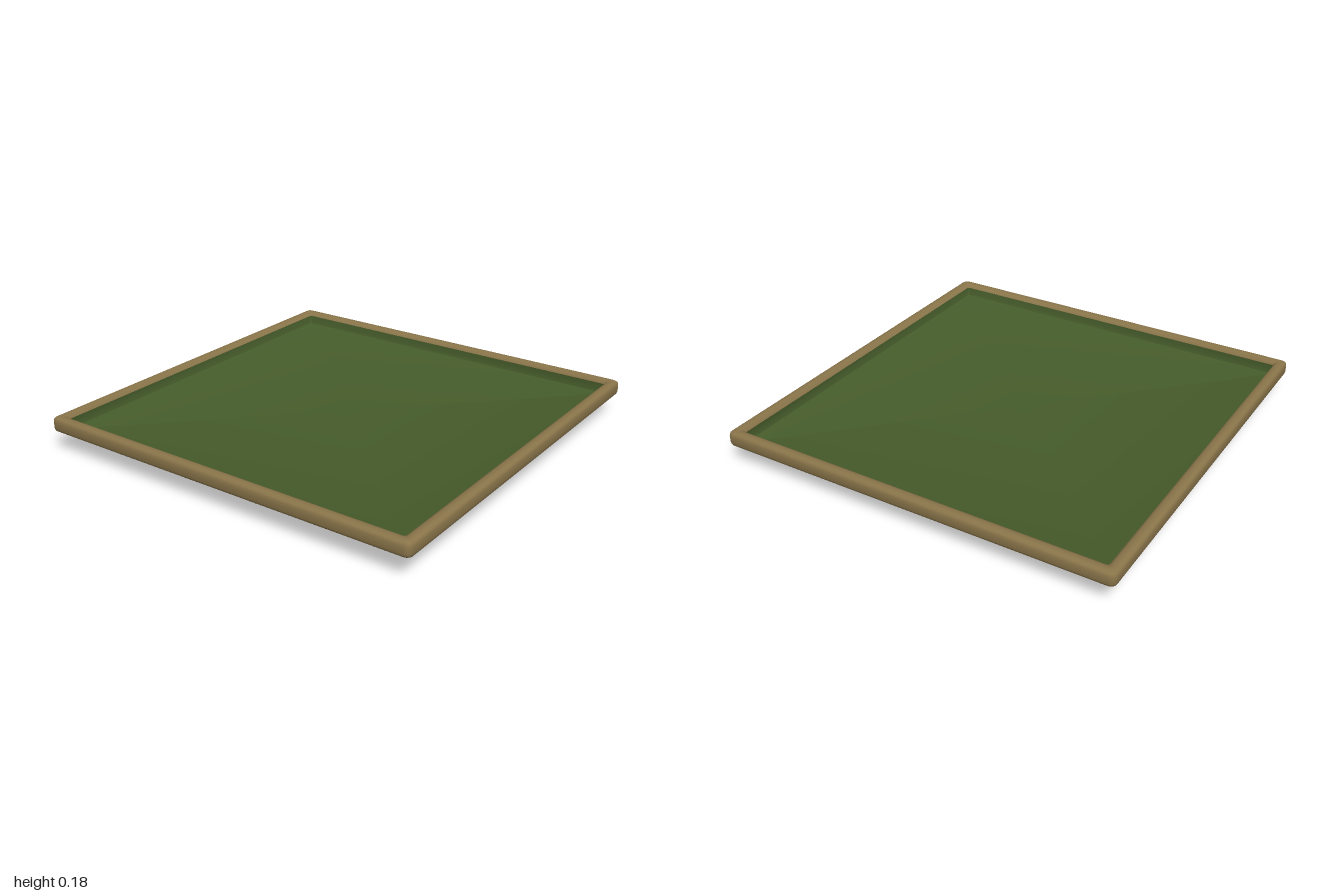
import * as THREE from 'three';
import { toCreasedNormals } from 'three/addons/utils/BufferGeometryUtils.js';

const CORNER_STEPS = 4;

// One horizontal rounded-square ring: half size, height, corner radius
function ring([half, y, radius]) {
  const points = [];
  for (let corner = 0; corner < 4; corner++) {
    const mid = (corner + 0.5) * Math.PI / 2;
    const cx = Math.sign(Math.cos(mid)) * (half - radius);
    const cz = Math.sign(Math.sin(mid)) * (half - radius);
    for (let s = 0; s <= CORNER_STEPS; s++) {
      const a = (corner + s / CORNER_STEPS) * Math.PI / 2;
      points.push(cx + Math.cos(a) * radius, y, cz + Math.sin(a) * radius);
    }
  }
  return points;
}

// Skin a list of rings; a ring of half size 0 closes the surface
function loft(profile, crease) {
  const n = 4 * (CORNER_STEPS + 1);
  const positions = profile.flatMap(ring);
  const index = [];
  for (let j = 0; j < profile.length - 1; j++) {
    for (let i = 0; i < n; i++) {
      const k = (i + 1) % n;
      const a = j * n + i, d = j * n + k;
      const b = a + n, c = d + n;
      if (profile[j][0] > 0) index.push(a, b, d);
      if (profile[j + 1][0] > 0) index.push(b, c, d);
    }
  }
  const geometry = new THREE.BufferGeometry();
  geometry.setAttribute('position', new THREE.Float32BufferAttribute(positions, 3));
  geometry.setIndex(index);
  return toCreasedNormals(geometry, crease);
}

export function createModel() {
  const tray = new THREE.Group();
  tray.name = 'tray';

  const material = (name, color) => {
    const m = new THREE.MeshStandardMaterial({ color });
    m.name = name;
    return m;
  };
  const wood = material('tan wood', 0x8a754a);
  const felt = material('green felt', 0x465c2b);
  const base = material('black base', 0x111111);

  const add = (name, profile, mat, crease) => {
    const mesh = new THREE.Mesh(loft(profile, crease), mat);
    mesh.name = name;
    tray.add(mesh);
  };

  // Shallow stepped underside
  add('underside', [
    [0, 0, 0], [0.35, 0, 0.01], [0.87, 0.07, 0.02], [0.985, 0.104, 0.02], [0.99, 0.11, 0.025],
  ], base, 0.3);

  // Rounded rim
  add('rim', [
    [0.985, 0.105, 0.02], [0.996, 0.112, 0.026], [1, 0.124, 0.03], [1, 0.158, 0.03],
    [0.996, 0.17, 0.026], [0.985, 0.177, 0.02], [0.975, 0.178, 0.02],
    [0.96, 0.177, 0.016], [0.948, 0.171, 0.013], [0.942, 0.16, 0.012],
  ], wood, 0.8);

  // Recessed lining: wall, small cove and flat floor
  add('lining', [
    [0.942, 0.16, 0.012], [0.94, 0.125, 0.012], [0.936, 0.114, 0.012],
    [0.926, 0.11, 0.012], [0, 0.11, 0],
  ], felt, 0.6);

  return tray;
}
